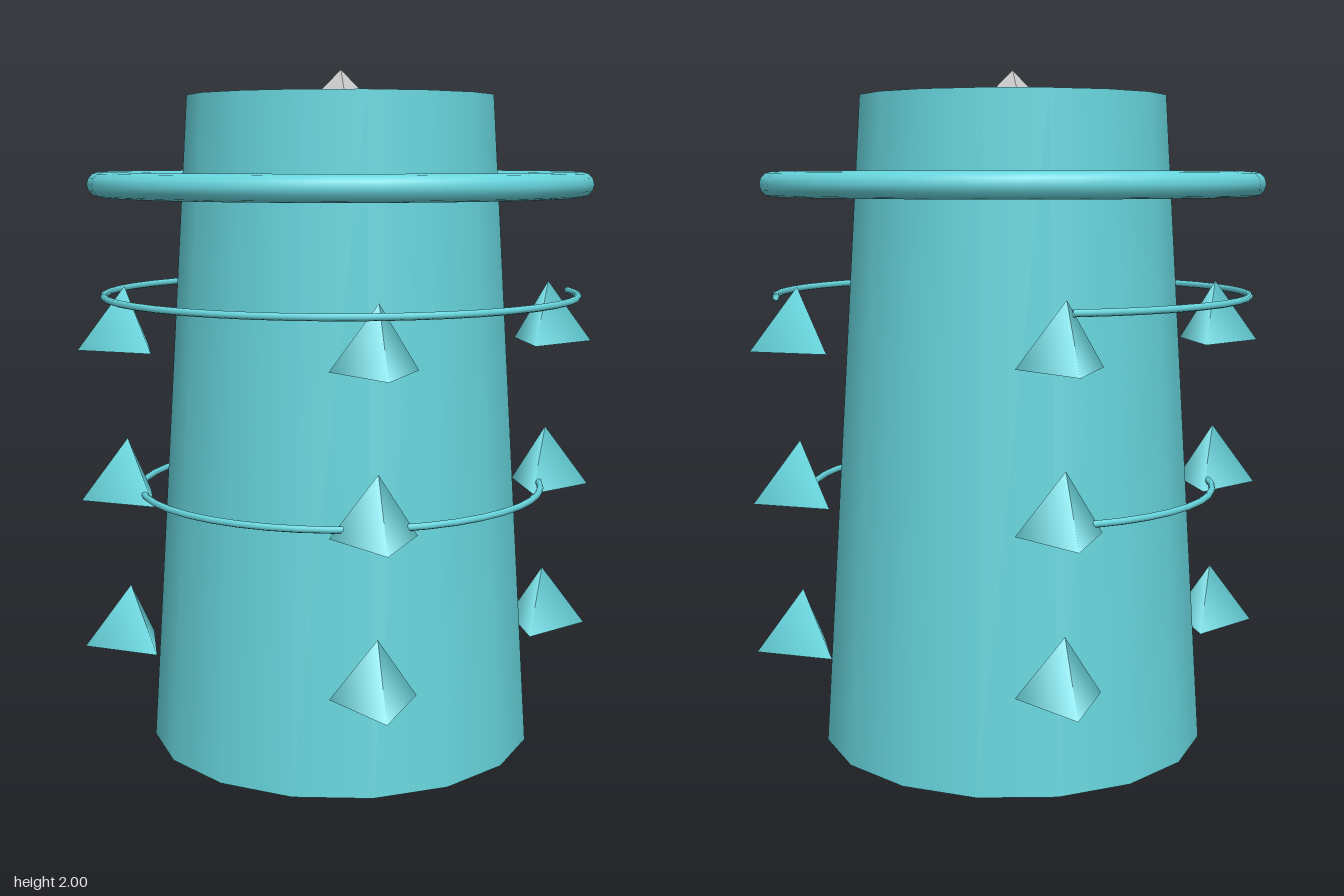
import * as THREE from 'three';

export function createModel() {
  const model = new THREE.Group();
  const teal = new THREE.MeshStandardMaterial({ color: 0x66d4dc });
  const tealShell = new THREE.MeshStandardMaterial({ color: 0x66d4dc, side: THREE.DoubleSide });
  const grey = new THREE.MeshStandardMaterial({ color: 0xcccccc, flatShading: true });

  const add = (name, geometry, material, x, y, z) => {
    const mesh = new THREE.Mesh(geometry, material);
    mesh.name = name;
    mesh.position.set(x, y, z);
    model.add(mesh);
    return mesh;
  };

  // Tapered tower wall, open at both ends
  add('tower', new THREE.CylinderGeometry(0.45, 0.575, 1.925, 16, 1, true), tealShell, 0, 0.9625, 0);

  // Thick ring floating around the top
  add('ring', new THREE.TorusGeometry(0.705, 0.036, 12, 32), teal, 0, 1.67, 0).rotation.x = Math.PI / 2;

  // Thin three-quarter hoops, wider towards the top; the lowest lies inside the wall
  for (let i = 0; i < 3; i++) {
    const geometry = new THREE.TorusGeometry(0.505 + i * 0.098, 0.01, 8, 32, Math.PI * 1.5);
    add('hoop', geometry, tealShell, 0, 0.193 + i * 0.577, 0).rotation.x = Math.PI / 2;
  }

  // Three rows of four three-sided spikes, one corner pointing outwards
  const spike = new THREE.ConeGeometry(0.14, 0.186, 3);
  for (let row = 0; row < 3; row++) {
    for (let side = 0; side < 4; side++) {
      const angle = side * Math.PI / 2;
      const mesh = add('spike', spike, teal, 0.64 * Math.sin(angle), 0.383 + row * 0.45, 0.64 * Math.cos(angle));
      mesh.rotation.y = angle;
    }
  }

  // Crystal hovering in the open top
  add('crystal', new THREE.OctahedronGeometry(0.14), grey, 0, 1.86, 0);

  return model;
}
